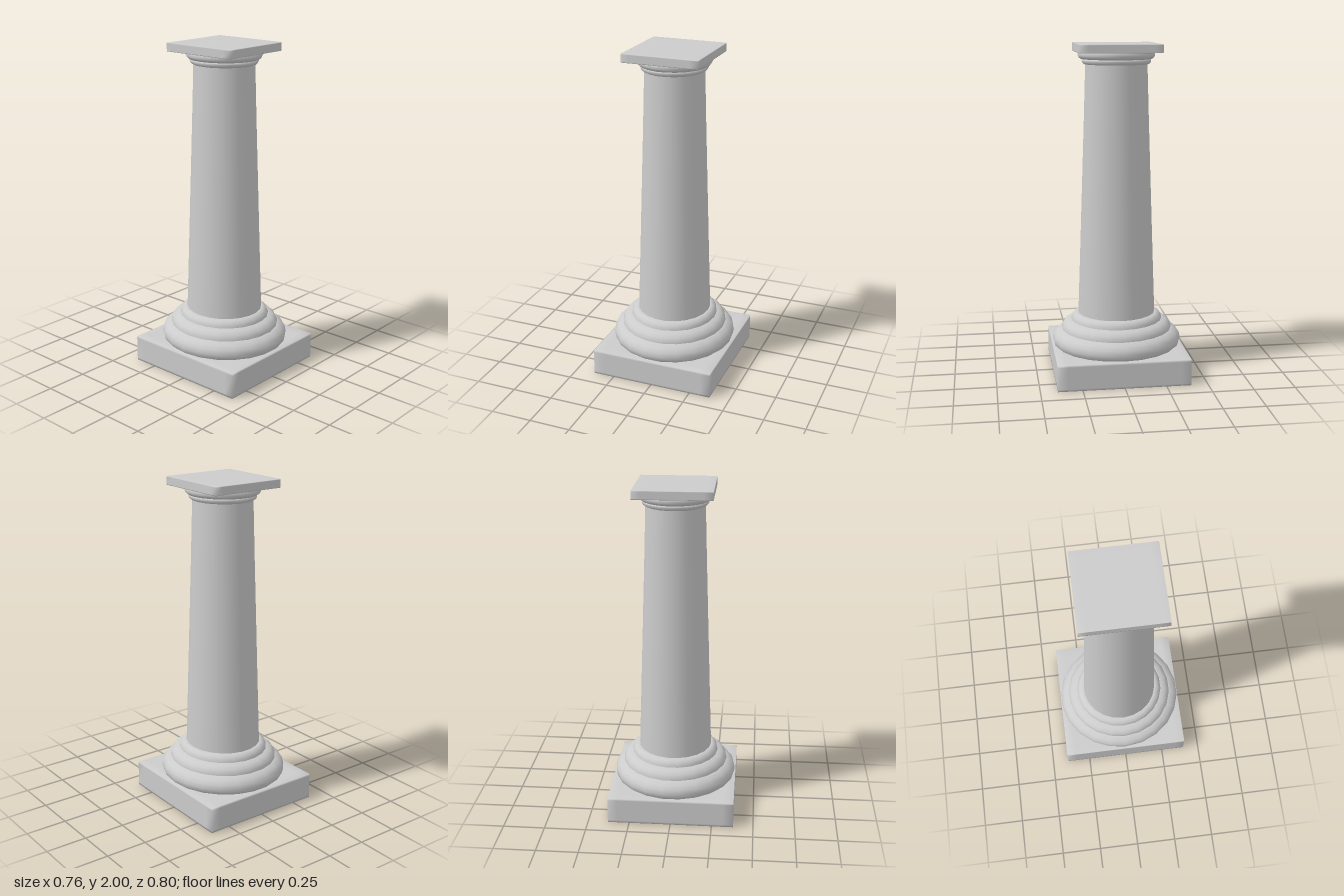
import * as THREE from 'three';
import { mergeVertices } from 'three/addons/utils/BufferGeometryUtils.js';

const SIDES = 22;
const DEPTH = 1.05; // the column is slightly oval: deeper than wide

export function createModel() {
  const group = new THREE.Group();
  group.name = 'column';
  const material = new THREE.MeshStandardMaterial({ color: 0xcccccc });

  const add = (name, geometry, y = 0) => {
    const mesh = new THREE.Mesh(geometry, material);
    mesh.name = name;
    mesh.position.y = y;
    group.add(mesh);
    return mesh;
  };

  // Square slab with support loops near the edges and softened normals
  const slab = (name, w, d, y0, y1, inset) => {
    const h = y1 - y0;
    const geo = new THREE.BoxGeometry(w, h, d, 3, 3, 3);
    const p = geo.attributes.position;
    const snap = (v, size, gap) =>
      Math.abs(v) < size * 0.4 ? Math.sign(v) * (size / 2 - gap) : v;
    for (let i = 0; i < p.count; i++) {
      p.setXYZ(i, snap(p.getX(i), w, inset), snap(p.getY(i), h, h * 0.08), snap(p.getZ(i), d, inset));
    }
    geo.deleteAttribute('normal');
    geo.deleteAttribute('uv');
    const merged = mergeVertices(geo, 1e-4);
    merged.computeVertexNormals();
    add(name, merged, (y0 + y1) / 2);
  };

  // Turned part from [radius, height] pairs, listed from bottom to top
  const turned = (name, profile) => {
    const points = profile.map(([r, y]) => new THREE.Vector2(r, y));
    const geo = new THREE.LatheGeometry(points, SIDES, Math.PI / SIDES);
    add(name, geo).scale.z = DEPTH;
  };

  // Stepped base
  slab('plinth', 0.76, 0.795, 0, 0.16, 0.06);
  turned('lowerBaseRing', [
    [0.355, 0.158], [0.37, 0.172], [0.376, 0.198], [0.37, 0.225], [0.352, 0.247], [0.325, 0.264], [0.29, 0.268],
  ]);
  turned('middleBaseRing', [
    [0.322, 0.262], [0.321, 0.278], [0.312, 0.298], [0.293, 0.314], [0.266, 0.323], [0.24, 0.325],
  ]);
  turned('upperBaseRing', [
    [0.266, 0.322], [0.264, 0.335], [0.257, 0.35], [0.244, 0.361], [0.23, 0.366], [0.2, 0.366],
  ]);

  // Tapered shaft
  turned('shaft', [[0.224, 0.36], [0.211, 0.75], [0.198, 1.15], [0.185, 1.55], [0.175, 1.89]]);

  // Capital mouldings and top slab
  turned('neckRing', [
    [0.165, 1.879], [0.182, 1.879], [0.19, 1.884], [0.196, 1.895], [0.196, 1.905], [0.185, 1.914],
  ]);
  turned('capitalRing', [
    [0.185, 1.908], [0.202, 1.91], [0.212, 1.918], [0.218, 1.93], [0.217, 1.945], [0.21, 1.952],
  ]);
  slab('abacus', 0.46, 0.48, 1.95, 2, 0.05);

  return group;
}
